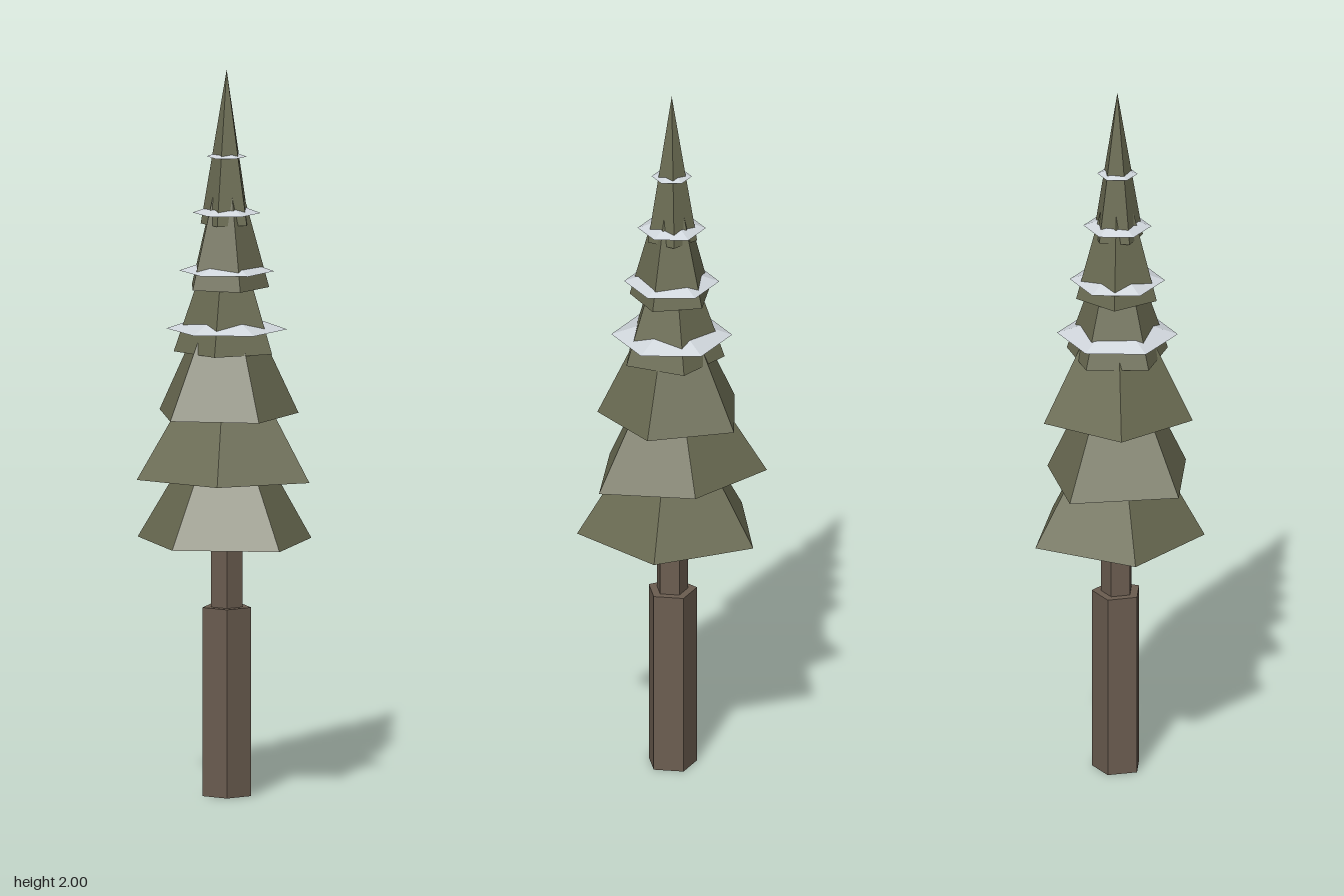
import * as THREE from 'three';

const CX = 0.012; // axis of the tree
const material = (color, side = THREE.DoubleSide) =>
  new THREE.MeshStandardMaterial({ color, flatShading: true, side });

// Open cone: one rim radius per side, first corner at startDeg (0 = +x, turning towards +z)
function openCone(radii, startDeg, y, height) {
  const n = radii.length;
  const rim = radii.map((r, i) => {
    const a = THREE.MathUtils.degToRad(startDeg) + (i / n) * Math.PI * 2;
    return [r * Math.cos(a), y, r * Math.sin(a)];
  });
  const pos = [];
  for (let i = 0; i < n; i++) pos.push(0, y + height, 0, ...rim[(i + 1) % n], ...rim[i]);
  const geo = new THREE.BufferGeometry();
  geo.setAttribute('position', new THREE.Float32BufferAttribute(pos, 3));
  geo.computeVertexNormals();
  return geo;
}

export function createModel() {
  const group = new THREE.Group();
  const add = (name, geo, mat) => {
    const mesh = new THREE.Mesh(geo, mat);
    mesh.name = name;
    mesh.position.x = CX;
    group.add(mesh);
  };

  // Five-sided trunk: thick base and thinner core
  const bark = material(0x6b5d50, THREE.FrontSide);
  const post = (r, y0, y1) =>
    new THREE.CylinderGeometry(r, r, y1 - y0, 5).rotateY(Math.PI / 2).translate(0, (y0 + y1) / 2, 0);
  add('trunkBase', post(0.07, 0, 0.52), bark);
  add('trunkCore', post(0.045, 0.5, 1.0), bark);

  // Foliage: overlapping five-sided cones, each turned, lower ones irregular
  const needles = material(0x6b6c53);
  const tiers = [
    [39, [0.24, 0.26, 0.24, 0.259, 0.256]],
    [8, [0.195, 0.25, 0.205, 0.25, 0.26]],
    [47, [0.198, 0.203, 0.213, 0.208, 0.215]],
    [14, [0.145, 0.145, 0.145, 0.145, 0.145]],
    [54, [0.116, 0.116, 0.116, 0.116, 0.116]],
    [22, [0.071, 0.071, 0.071, 0.071, 0.071]],
  ];
  tiers.forEach(([start, radii], i) =>
    add(`foliageTier${i + 1}`, openCone(radii, start, 0.7 + i * 0.175, 0.425), needles));

  // Snow: shallow six-sided collars
  const snow = material(0xd0d6dc);
  [[0.165, 1.285, 0.057], [0.13, 1.445, 0.045], [0.093, 1.605, 0.034], [0.055, 1.76, 0.02]]
    .forEach(([r, y, h], i) => add(`snowCollar${i + 1}`, openCone(Array(6).fill(r), -2, y, h), snow));

  return group;
}
